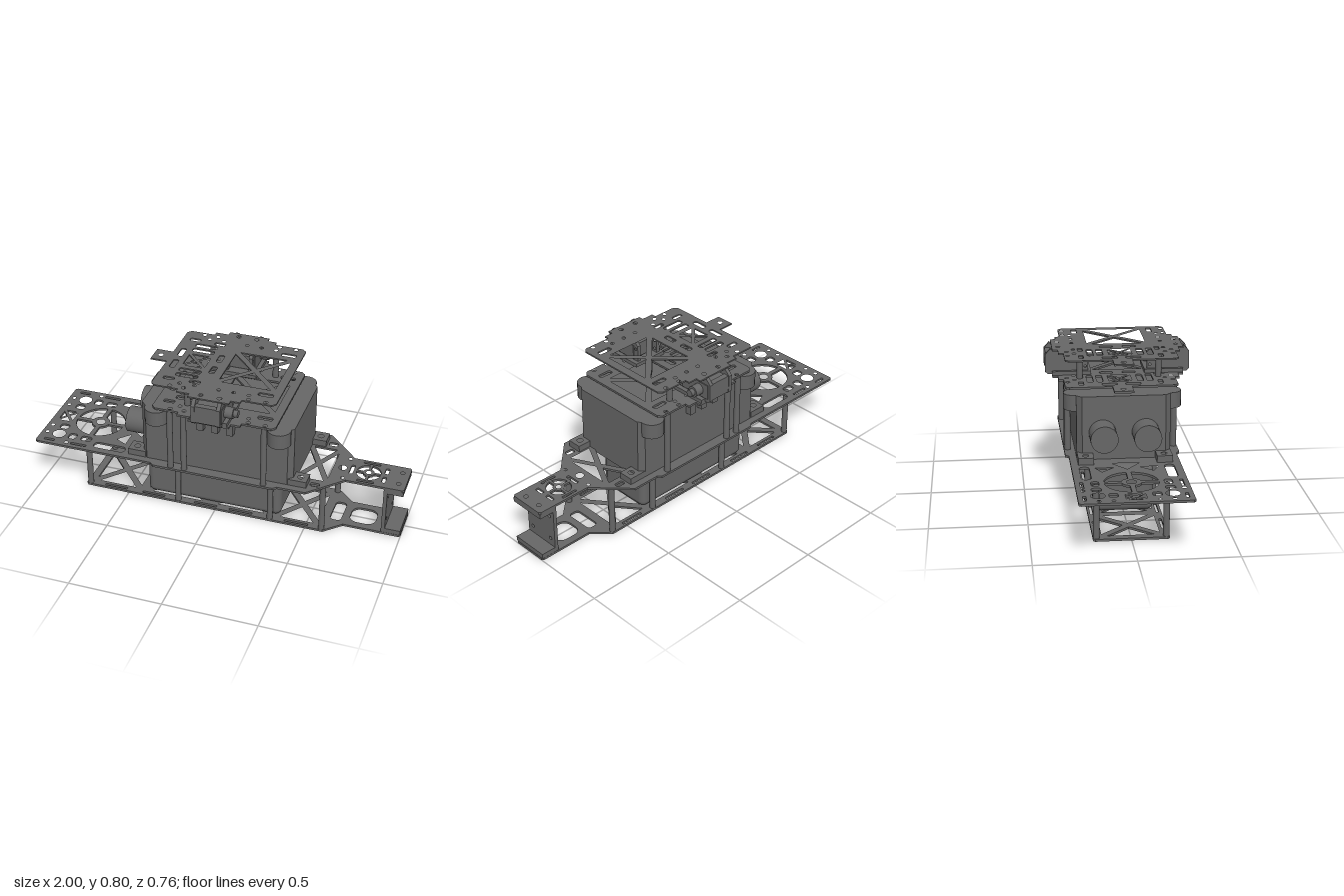
import * as THREE from 'three';
import { RoundedBoxGeometry } from 'three/addons/geometries/RoundedBoxGeometry.js';

const grey = new THREE.MeshStandardMaterial({ color: 0x666666 });
grey.name = 'graphite grey';

// ---------- hole helpers (plan coordinates x, z) ----------
const poly = (pts) => [new THREE.Path(pts.map(([x, z]) => new THREE.Vector2(x, z)))];
const circle = (x, z, r) => [new THREE.Path().absarc(x, z, r, 0, Math.PI * 2, true)];
const both = (f) => [...f(1), ...f(-1)];

// Rounded rectangular slot
function slot(x, z, w, h, r = Math.min(w, h) * 0.35) {
  const p = new THREE.Path(), a = w / 2 - r, b = h / 2 - r;
  p.absarc(x + a, z + b, r, 0, Math.PI / 2);
  p.absarc(x - a, z + b, r, Math.PI / 2, Math.PI);
  p.absarc(x - a, z - b, r, Math.PI, Math.PI * 1.5);
  p.absarc(x + a, z - b, r, Math.PI * 1.5, Math.PI * 2);
  return [p];
}

// Four triangles that leave an X-shaped brace
function xPanel(x0, x1, h, bar) {
  const c = (x0 + x1) / 2, w = (x1 - x0) / 2, d = bar * 0.6;
  const gx = d * Math.hypot(w, h) / h, gz = d * Math.hypot(w, h) / w;
  return [
    ...both((s) => poly([[c + s * gx, 0], [c + s * w, h - gz], [c + s * w, gz - h]])),
    ...both((s) => poly([[c, s * gz], [c + w - gx, s * h], [c - w + gx, s * h]])),
  ];
}

// Ring of four windows separated by spokes, with a hub hole
function spokedRing(x, r0, r1, spoke) {
  const out = circle(x, 0, r0 * 0.5);
  for (let i = 0; i < 4; i++) {
    const a = i * Math.PI / 2, b = a + Math.PI / 2;
    const o = Math.asin(spoke / 2 / r1), n = Math.asin(spoke / 2 / r0);
    const p = new THREE.Path();
    p.absarc(x, 0, r1, a + o, b - o, false);
    p.absarc(x, 0, r0, b - n, a + n, true);
    out.push(p);
  }
  return out;
}

// Flat plate: half outline (x, z >= 0) is mirrored in z
function plateGeometry(half, holes, thickness) {
  const pts = [...half, ...half.slice().reverse().map(([x, z]) => [x, -z])];
  const shape = new THREE.Shape(pts.map(([x, z]) => new THREE.Vector2(x, z)));
  shape.holes.push(...holes);
  return new THREE.ExtrudeGeometry(shape, { depth: thickness, bevelEnabled: false, curveSegments: 8 })
    .rotateX(-Math.PI / 2);
}

export function createModel() {
  const model = new THREE.Group();
  model.name = 'mobileRobotChassis';

  function add(name, geo, x = 0, y = 0, z = 0, parent = model) {
    const m = new THREE.Mesh(geo, grey);
    m.name = name;
    m.position.set(x, y, z);
    parent.add(m);
    return m;
  }
  const box = (name, x0, x1, y0, y1, z0, z1, parent) =>
    add(name, new THREE.BoxGeometry(x1 - x0, y1 - y0, z1 - z0), (x0 + x1) / 2, (y0 + y1) / 2, (z0 + z1) / 2, parent);
  const post = (name, x, z, y0, y1, r = 0.016) =>
    add(name, new THREE.CylinderGeometry(r, r, y1 - y0, 16), x, (y0 + y1) / 2, z);

  // Bottom deck
  const bottomHoles = [
    ...xPanel(-0.71, -0.45, 0.145, 0.03), ...xPanel(-0.4, -0.06, 0.145, 0.03),
    ...xPanel(-0.02, 0.29, 0.145, 0.03), ...xPanel(0.33, 0.56, 0.145, 0.03),
    ...slot(0.78, 0, 0.14, 0.13), ...slot(0.64, 0, 0.06, 0.16),
  ];
  for (const x of [-0.58, -0.36, -0.06, 0.14, 0.45]) bottomHoles.push(...both((s) => slot(x, s * 0.17, 0.13, 0.014)));
  add('bottomDeck', plateGeometry([[-0.75, 0.18], [-0.74, 0.19], [0.6, 0.19], [0.69, 0.105], [0.99, 0.105], [1, 0.095]],
    bottomHoles, 0.012));

  // Middle deck
  const middleHoles = [
    ...spokedRing(-0.73, 0.05, 0.135, 0.025), ...xPanel(-0.965, -0.885, 0.05, 0.014),
    ...poly([[-0.55, 0], [-0.46, 0.07], [-0.46, -0.07]]),
    ...xPanel(-0.35, -0.02, 0.19, 0.03), ...xPanel(0.04, 0.37, 0.19, 0.03),
    ...xPanel(0.44, 0.6, 0.15, 0.025), ...circle(0.65, 0, 0.022),
    ...spokedRing(0.79, 0.03, 0.065, 0.014), ...slot(0.7, 0, 0.02, 0.08),
  ];
  middleHoles.push(...both((s) => [
    ...circle(-0.9, s * 0.18, 0.036), ...circle(-0.97, s * 0.18, 0.01), ...circle(-0.97, s * 0.11, 0.01),
    ...slot(-0.93, s * 0.245, 0.06, 0.016), ...slot(-0.76, s * 0.245, 0.09, 0.016),
    ...circle(-0.83, s * 0.245, 0.011), ...slot(-0.82, s * 0.18, 0.045, 0.05), ...slot(-0.74, s * 0.18, 0.06, 0.04),
    ...slot(-0.9, s * 0.105, 0.05, 0.045),
    ...slot(-0.59, s * 0.215, 0.18, 0.05, 0.022), ...poly([[-0.52, s * 0.065], [-0.52, s * 0.16], [-0.58, s * 0.13]]),
    ...slot(0.55, s * 0.195, 0.05, 0.03), ...circle(0.67, s * 0.09, 0.01),
    ...slot(0.79, s * 0.083, 0.09, 0.014), ...slot(0.88, s * 0.04, 0.02, 0.05), ...circle(0.96, s * 0.05, 0.012),
  ]));
  add('middleDeck', plateGeometry([[-1, 0.268], [-0.99, 0.278], [-0.33, 0.278], [-0.31, 0.296], [0.35, 0.296], [0.37, 0.278],
    [0.52, 0.278], [0.69, 0.105], [0.99, 0.105], [1, 0.095]], middleHoles, 0.012), 0, 0.288);

  // Battery and the posts around it
  add('battery', new RoundedBoxGeometry(0.755, 0.25, 0.304, 4, 0.035), -0.022, 0.137, 0);
  for (const s of [1, -1]) for (const x of [-0.73, -0.215, 0.305, 0.59]) post('lowerPost', x, s * 0.174, 0.012, 0.288);

  // End bracket: drilled upright with top and bottom flanges
  const bracket = new THREE.Group();
  bracket.name = 'endBracket';
  model.add(bracket);
  const upright = new THREE.Shape([[-0.104, 0.012], [0.104, 0.012], [0.104, 0.288], [-0.104, 0.288]]
    .map(([a, b]) => new THREE.Vector2(a, b)));
  for (const z of [-0.07, 0.07]) for (const y of [0.08, 0.22]) upright.holes.push(...circle(z, y, 0.01));
  add('bracketUpright', new THREE.ExtrudeGeometry(upright, { depth: 0.02, bevelEnabled: false }).rotateY(Math.PI / 2),
    0.895, 0, 0, bracket);
  for (const y of [0.012, 0.262]) {
    box('bracketFlange', 0.915, 0.998, y, y + 0.026, -0.104, 0.104, bracket);
  }

  // Gearbox housing with bevelled corners
  const housing = [[-0.39, 0.213], [-0.363, 0.24], [0.413, 0.24], [0.44, 0.213]];
  add('housing', plateGeometry(housing, [], 0.333), 0, 0.3);
  for (const s of [1, -1]) {
    // Rounded screw bosses near the top of each side
    for (const [x, r] of [[-0.3, 0.062], [0.365, 0.062]]) post('cornerBoss', x, s * 0.24, 0.55, 0.633, r);
    for (const x of [-0.05, 0.03, 0.11]) box('sideRib', x - 0.018, x + 0.018, 0.56, 0.633, s * 0.255 - 0.02, s * 0.255 + 0.02);
    // Drilled mounting feet
    for (const x of [-0.43, 0.475]) {
      const foot = [[x - 0.06, 0.04], [x + 0.04, 0.04]];
      if (x < 0) foot.forEach((p) => { p[0] += 0.02; });
      add('mountingFoot', plateGeometry(foot, circle(x, 0, 0.016), 0.035), 0, 0.3, s * 0.2);
    }
    // Drive motors
    add('motor', new THREE.CylinderGeometry(0.07, 0.07, 0.13, 28).rotateZ(Math.PI / 2), -0.44, 0.44, s * 0.11);
    // Posts carrying the upper decks
    for (const x of [-0.215, -0.14, 0.295]) post('upperPost', x, s * 0.277, 0.3, 0.65);
    post('deckPost', -0.14, s * 0.205, 0.66, 0.793);
  }
  post('deckPost', 0.21, -0.205, 0.66, 0.793);

  // Two matching upper decks
  function upperHoles() {
    const h = [...xPanel(0.01, 0.31, 0.155, 0.025), ...xPanel(-0.22, -0.1, 0.06, 0.014), ...circle(-0.36, 0, 0.014)];
    for (const x of [-0.21, -0.135, 0.21, 0.3]) h.push(...both((s) => circle(x, s * 0.272, 0.011)));
    for (const x of [-0.17, -0.09, 0.04, 0.12, 0.2]) h.push(...both((s) => circle(x, s * 0.235, 0.01)));
    for (const z of [0.105, 0.155]) h.push(...both((s) => slot(-0.16, s * z, 0.12, 0.032)));
    h.push(...both((s) => [...slot(-0.24, s * 0.205, 0.06, 0.025), ...slot(-0.1, s * 0.2, 0.06, 0.025),
      ...slot(0.28, s * 0.205, 0.08, 0.028), ...slot(-0.05, s * 0.06, 0.03, 0.07), ...slot(-0.265, s * 0.06, 0.03, 0.08),
      ...circle(-0.03, s * 0.31, 0.012), ...circle(0.07, s * 0.31, 0.012)]));
    return h;
  }
  const deckHalf = [[-0.4, 0.05], [-0.31, 0.05], [-0.31, 0.27], [-0.29, 0.29], [-0.16, 0.29], [-0.16, 0.315], [-0.09, 0.315],
    [-0.09, 0.343], [0.13, 0.343], [0.13, 0.315], [0.18, 0.315], [0.18, 0.29], [0.335, 0.29], [0.355, 0.27]];
  add('lowerTopDeck', plateGeometry(deckHalf, upperHoles(), 0.011), 0, 0.649);
  add('upperTopDeck', plateGeometry(deckHalf, upperHoles(), 0.008), 0, 0.792);

  // Side servos: body, two drilled cheek plates, output shaft
  for (const s of [1, -1]) {
    const servo = new THREE.Group();
    servo.name = s > 0 ? 'frontServo' : 'backServo';
    model.add(servo);
    const zr = (a, b) => (s > 0 ? [a, b] : [-b, -a]);
    box('servoBody', -0.05, 0.1, 0.685, 0.765, ...zr(0.185, 0.365), servo);
    box('servoTray', -0.08, 0.12, 0.66, 0.68, ...zr(0.14, 0.345), servo);
    const cheek = new THREE.Shape([[0.155, 0.68], [0.18, 0.662], [0.365, 0.662], [0.379, 0.675], [0.379, 0.768],
      [0.35, 0.8], [0.345, 0.792], [0.18, 0.792], [0.155, 0.77]].map(([a, b]) => new THREE.Vector2(-s * a, b)));
    for (const z of [0.17, 0.364]) for (const y of [0.7, 0.748]) cheek.holes.push(...circle(-s * z, y, 0.007));
    for (const x of [-0.06, 0.075]) {
      add('servoCheek', new THREE.ExtrudeGeometry(cheek, { depth: 0.02, bevelEnabled: false, curveSegments: 8 })
        .rotateY(Math.PI / 2), x, 0, 0, servo);
    }
    box('servoEndCap', -0.06, 0.095, 0.675, 0.77, ...zr(0.345, 0.376), servo);
    for (const [r, x0, x1] of [[0.03, 0.09, 0.145], [0.019, 0.145, 0.168]]) {
      add('servoShaft', new THREE.CylinderGeometry(r, r, x1 - x0, 20).rotateZ(Math.PI / 2), (x0 + x1) / 2, 0.724, s * 0.305, servo);
    }
  }
  return model;
}
